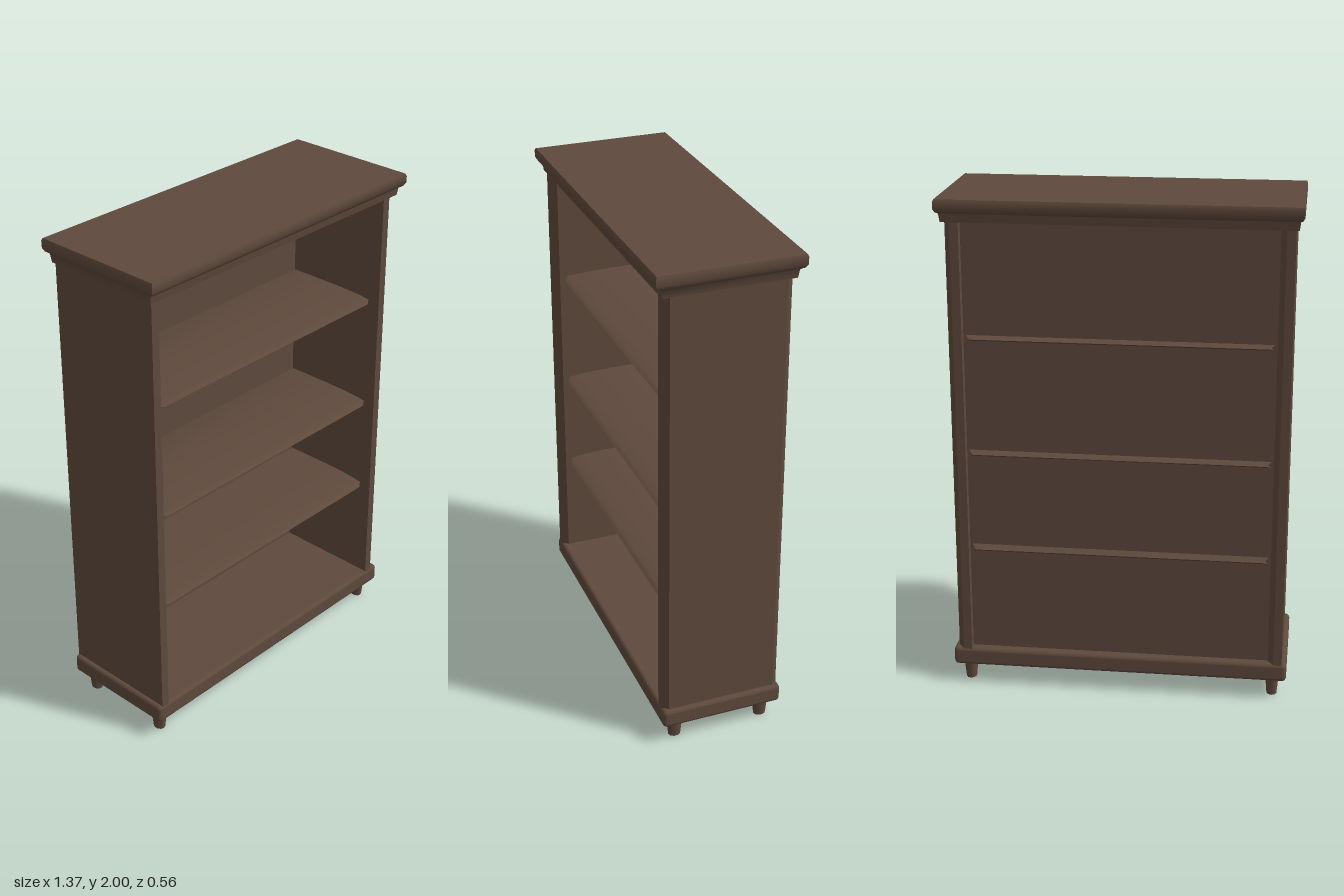
import * as THREE from 'three';
import { toCreasedNormals } from 'three/addons/utils/BufferGeometryUtils.js';
import { RoundedBoxGeometry } from 'three/addons/geometries/RoundedBoxGeometry.js';

const wood = new THREE.MeshStandardMaterial({ color: 0x5e493c });
wood.name = 'dark brown wood';

// Closed loft through stacked rectangles given as [halfX, halfZ, y]
function rectLoft(rings) {
  const pos = [], idx = [];
  for (const [hx, hz, y] of rings) pos.push(-hx, y, hz, hx, y, hz, hx, y, -hz, -hx, y, -hz);
  const last = (rings.length - 1) * 4;
  for (let r = 0; r < last; r += 4) {
    for (let i = 0; i < 4; i++) {
      const a = r + i, b = r + (i + 1) % 4;
      idx.push(a, b, b + 4, a, b + 4, a + 4);
    }
  }
  idx.push(0, 2, 1, 0, 3, 2, last, last + 1, last + 2, last, last + 2, last + 3);
  const geo = new THREE.BufferGeometry();
  geo.setAttribute('position', new THREE.Float32BufferAttribute(pos, 3));
  geo.setIndex(idx);
  return toCreasedNormals(geo, 0.95);
}

function shapeOf(points) {
  return new THREE.Shape(points.map(([x, y]) => new THREE.Vector2(x, y)));
}

// Side board with its two +x edges chamfered
function sideGeometry() {
  const shape = shapeOf([[-0.028, -0.243], [0.006, -0.243], [0.028, -0.22],
    [0.028, 0.22], [0.006, 0.243], [-0.028, 0.243]]);
  const geo = new THREE.ExtrudeGeometry(shape, { depth: 1.78, bevelEnabled: false });
  geo.rotateX(-Math.PI / 2);
  return geo;
}

// Shelf with a long curved nose in front and a short wedge behind the back panel
function shelfGeometry(thickness) {
  const h = thickness / 2;
  const upper = [[0.205, 0], [0.19, 0.42], [0.15, 0.7], [0.08, 0.92], [0, 1], [-0.2, 1]];
  const lower = upper.slice(1).reverse().map(([z, y]) => [z, -y]);
  const outline = [...upper, [-0.238, 0], ...lower].map(([z, y]) => [z, y * h]);
  const geo = new THREE.ExtrudeGeometry(shapeOf(outline), { depth: 1.2, bevelEnabled: false });
  geo.translate(0, 0, -0.6);
  geo.rotateY(-Math.PI / 2);
  // Draw the ends in at the front and back tips
  const p = geo.attributes.position;
  for (let i = 0; i < p.count; i++) {
    const z = p.getZ(i);
    if (z > 0.2 || z < -0.22) p.setX(i, p.getX(i) * 0.955);
  }
  return toCreasedNormals(geo, 0.5);
}

export function createModel() {
  const group = new THREE.Group();
  const add = (name, geo, x = 0, y = 0, z = 0) => {
    const mesh = new THREE.Mesh(geo, wood);
    mesh.name = name;
    mesh.position.set(x, y, z);
    group.add(mesh);
    return mesh;
  };

  // Moulded top
  add('crown', rectLoft([[0.667, 0.25, 1.91], [0.671, 0.255, 1.943], [0.68, 0.271, 1.95],
    [0.686, 0.279, 1.963], [0.686, 0.28, 1.99], [0.682, 0.276, 2]]));

  // Plinth with softened edges
  add('base', new RoundedBoxGeometry(1.35, 0.076, 0.494, 3, 0.016), 0, 0.117, -0.002);

  // Carcass
  const side = sideGeometry();
  add('rightSide', side, -0.628, 0.14, -0.002);
  add('leftSide', side, 0.628, 0.14, -0.002);
  add('backPanel', new THREE.BoxGeometry(1.21, 1.78, 0.008), 0, 1.03, -0.209);

  // Shelves
  [[0.588, 0.045], [0.989, 0.038], [1.456, 0.034]].forEach(([y, t], i) =>
    add('shelf' + (i + 1), shelfGeometry(t), 0, y, 0));

  // Tapered feet
  const foot = new THREE.CylinderGeometry(0.035, 0.025, 0.09, 10);
  foot.scale(0.84, 1, 1);
  for (const x of [-0.618, 0.618])
    for (const z of [-0.185, 0.181])
      add((z > 0 ? 'front' : 'back') + (x > 0 ? 'Left' : 'Right') + 'Foot', foot, x, 0.045, z);

  return group;
}
